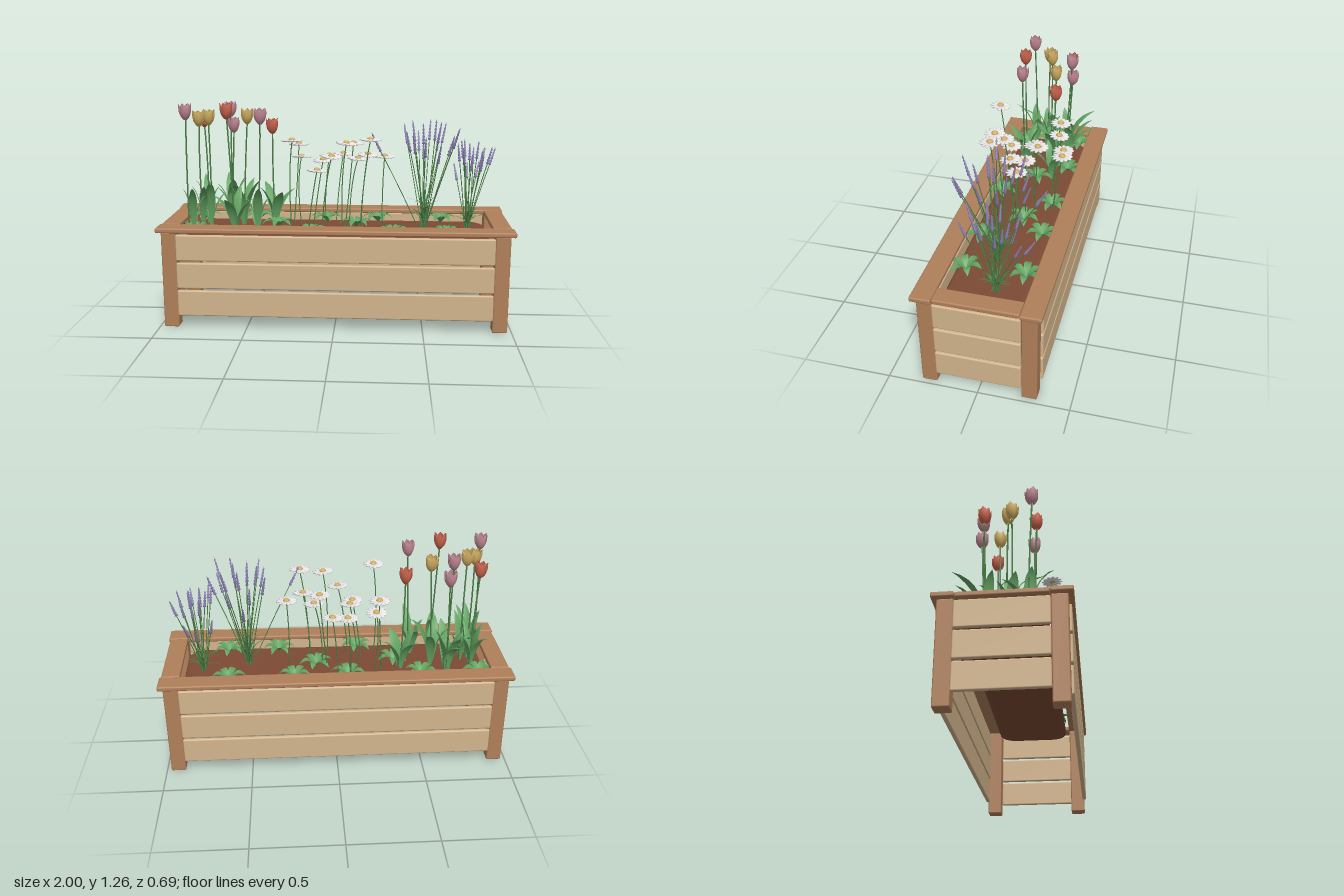
import * as THREE from 'three';
import { mergeGeometries } from 'three/addons/utils/BufferGeometryUtils.js';
import { RoundedBoxGeometry } from 'three/addons/geometries/RoundedBoxGeometry.js';

const mat = (name, color, side = THREE.FrontSide) => {
  const m = new THREE.MeshStandardMaterial({ color, side });
  m.name = name;
  return m;
};
const D = THREE.DoubleSide;
const V = (x, y, z) => new THREE.Vector3(x, y, z);
const SOIL = 0.52;

export function createModel() {
  const M = {
    frame: mat('frame wood', 0xb0805a),
    plank: mat('plank wood', 0xd2b48c),
    soil: mat('soil', 0x7c4b34),
    leaf: mat('leaf green', 0x62a362, D),
    stem: mat('stem green', 0x4e8449, D),
    red: mat('coral petal', 0xca654e, D),
    pink: mat('pink petal', 0xc08794, D),
    yellow: mat('golden petal', 0xd0ae62, D),
    white: mat('white petal', 0xe6e4e4),
    purple: mat('lavender purple', 0x9385bc),
  };
  const root = new THREE.Group();
  root.name = 'flowerPlanter';
  const add = (name, geo, material, parent = root) => {
    const mesh = new THREE.Mesh(Array.isArray(geo) ? mergeGeometries(geo) : geo, material);
    mesh.name = name;
    parent.add(mesh);
    return mesh;
  };
  const group = (name) => {
    const g = new THREE.Group();
    g.name = name;
    root.add(g);
    return g;
  };
  let seed = 7;
  const rnd = (a, b) => {
    seed = (seed * 16807) % 2147483647;
    return a + (b - a) * (seed / 2147483647);
  };

  // Wooden box: each board is given by its centre and size
  const board = (name, m, x, y, z, w, h, d) =>
    add(name, new RoundedBoxGeometry(w, h, d, 2, Math.min(0.008, h * 0.3)), m).position.set(x, y, z);
  for (const s of [-1, 1]) {
    for (const t of [-1, 1]) board('cornerPost', M.frame, s * 0.932, 0.28, t * 0.275, 0.085, 0.56, 0.085);
    for (const y of [0.147, 0.309, 0.471]) {
      board('longPlank', M.plank, 0, y, s * 0.318, 1.78, 0.15, 0.024);
      board('endPlank', M.plank, s * 0.973, y, 0, 0.024, 0.15, 0.466);
    }
    board('longRim', M.frame, 0, 0.573, s * 0.287, 2, 0.028, 0.115);
    board('endRim', M.frame, s * 0.938, 0.573, 0, 0.105, 0.028, 0.458);
  }

  // Thin soil bed with rounded corners and a soft edge
  const sx = 0.845, sz = 0.19, sr = 0.07;
  const outline = new THREE.Shape();
  outline.absarc(sx - sr, sz - sr, sr, 0, Math.PI / 2);
  outline.absarc(sr - sx, sz - sr, sr, Math.PI / 2, Math.PI);
  outline.absarc(sr - sx, sr - sz, sr, Math.PI, Math.PI * 1.5);
  outline.absarc(sx - sr, sr - sz, sr, Math.PI * 1.5, Math.PI * 2);
  add('soil', new THREE.ExtrudeGeometry(outline, {
    depth: 0.005, bevelSize: 0.03, bevelThickness: 0.015, bevelSegments: 4, curveSegments: 8,
  }).rotateX(-Math.PI / 2).translate(0, SOIL - 0.02, -0.005), M.soil);

  // Curved surface: s runs -1..1 across, t runs 0..1 along
  const patch = (nu, nv, f) => {
    const g = new THREE.PlaneGeometry(2, 1, nu, nv);
    const p = g.attributes.position;
    for (let i = 0; i < p.count; i++) p.setXYZ(i, ...f(p.getX(i), p.getY(i) + 0.5));
    g.computeVertexNormals();
    return g;
  };
  const leafWidth = (t) => Math.sin(Math.PI * (0.08 + 0.92 * Math.pow(t, 1.15)));
  const blade = (w, out, up, fold, n = 7) => patch(2, n, (s, t) =>
    [out(t), up(t) + Math.abs(s) * fold * leafWidth(t), s * w * leafWidth(t)]);
  const stem = (a, b, bow, r) => new THREE.TubeGeometry(new THREE.QuadraticBezierCurve3(
    a, a.clone().lerp(b, 0.5).add(bow), b), 8, r, 5);

  // Low rosettes of six arching leaves
  const rosettes = [];
  for (const [x, z] of [[-0.83, -0.18], [-0.49, -0.17], [-0.35, 0], [-0.07, -0.16], [0.24, -0.17],
    [-0.14, 0.17], [0.33, 0.16], [0.62, -0.17], [0.63, 0.16], [0.11, -0.03], [-0.82, 0.15]]) {
    const turn = rnd(0, 1);
    for (let i = 0; i < 6; i++) {
      const len = rnd(0.09, 0.105);
      rosettes.push(blade(0.021, (t) => len * t, (t) => 0.045 * Math.sin(t * 2.6), 0.006, 6)
        .rotateY(turn + i * Math.PI / 3).translate(x, SOIL, z));
    }
  }
  add('leafRosettes', rosettes, M.leaf);

  // Tulips: [head x, head centre y, head z, colour]
  const tulips = group('tulips');
  const tulipLeaves = [], tulipStems = [];
  const petal = (a, R) => patch(4, 8, (s, t) => {
    const w = 0.75 * Math.pow(Math.max(0, 1 - Math.pow(t, 4)), 0.6);
    const r = R * (Math.pow(Math.sin(Math.PI * (0.04 + 0.72 * t)), 0.6) + 0.25 * Math.pow(t, 6)) * (1 - 0.1 * s * s);
    return [r * Math.cos(a + s * w), 0.09 * t - 0.045, r * Math.sin(a + s * w)];
  });
  for (const [x, y, z, c] of [
    [-0.85, 1.215, 0.135, 'pink'], [-0.8, 1.165, 0.025, 'yellow'], [-0.75, 1.17, 0, 'yellow'],
    [-0.615, 1.22, 0.14, 'red'], [-0.8, 1.145, -0.12, 'red'], [-0.645, 1.205, -0.145, 'pink'],
    [-0.63, 1.11, -0.155, 'pink'], [-0.535, 1.17, -0.07, 'yellow'], [-0.43, 1.19, 0.115, 'pink'],
    [-0.39, 1.11, -0.1, 'red']]) {
    const petals = [];
    for (let i = 0; i < 6; i++) petals.push(petal(i * Math.PI / 3 + x * 9, i % 2 ? 0.032 : 0.037));
    add('tulipHead', petals, M[c], tulips).position.set(x, y, z);
    const bx = x + rnd(-0.03, 0.03), bz = z * 0.85;
    tulipStems.push(stem(V(bx, SOIL, bz), V(x, y - 0.043, z), V(rnd(-0.015, 0.015), 0, rnd(-0.015, 0.015)), 0.0045));
    // The first leaf of each plant leans out over the nearer long side
    const turn = (z > 0 ? -Math.PI / 2 : Math.PI / 2) + rnd(-0.5, 0.5);
    for (let i = 0; i < 4; i++) {
      const h = rnd(0.2, 0.29), o = i ? rnd(0.06, 0.13) : rnd(0.12, 0.18);
      tulipLeaves.push(blade(rnd(0.026, 0.034), (t) => 0.01 + o * Math.pow(t, 1.9),
        (t) => h * Math.sin(t * 1.4), -0.012)
        .rotateY(turn + i * 1.57).scale(x < -0.7 ? 0.7 : 1, 1, 1).translate(Math.max(bx, -0.83), SOIL, bz));
    }
  }
  add('tulipLeaves', tulipLeaves, M.leaf, tulips);
  add('tulipStems', tulipStems, M.stem, tulips);

  // Daisies: plump white petals round a golden button
  const daisies = group('daisies');
  const daisyStems = [];
  for (const [x, y, z] of [
    [-0.24, 1.065, 0.2], [-0.24, 0.995, -0.165], [-0.225, 0.92, -0.16], [-0.11, 0.88, 0.1],
    [-0.085, 0.92, -0.04], [-0.06, 0.92, -0.22], [0.025, 0.93, -0.23], [-0.025, 0.965, 0.12],
    [0.06, 1.045, 0.15], [0.09, 1.01, -0.105], [0.12, 0.93, -0.04], [0.18, 0.965, 0.03],
    [0.195, 1.065, 0.14], [0.275, 0.945, -0.03]]) {
    const flower = new THREE.Group();
    flower.name = 'daisyHead';
    flower.position.set(x, y, z);
    flower.rotation.set(rnd(-0.12, 0.12), rnd(0, 3), rnd(-0.12, 0.12));
    daisies.add(flower);
    const petals = [];
    for (let i = 0; i < 12; i++) {
      petals.push(new THREE.SphereGeometry(1, 8, 6).scale(0.025, 0.006, 0.0125)
        .rotateX(0.25).translate(0.037, 0, 0).rotateY(i * Math.PI / 6));
    }
    add('daisyPetals', petals, M.white, flower);
    add('daisyCentre', new THREE.SphereGeometry(0.02, 10, 6).scale(1, 0.65, 1).translate(0, 0.004, 0), M.yellow, flower);
    daisyStems.push(stem(V(x - rnd(0, 0.06), SOIL, z * 0.75), V(x, y, z), V(rnd(-0.03, 0.01), 0.05, 0), 0.0032));
  }
  add('daisyStems', daisyStems, M.stem, daisies);

  // Lavender clumps: fanned stems with knobbly spikes, thin grass at the foot
  const lavender = group('lavender');
  const spikes = [], lavStems = [], grass = [];
  const profile = [new THREE.Vector2(0, 0)];
  for (let i = 0; i < 6; i++) {
    const r = 0.0105 * (1 - i * 0.1);
    profile.push(new THREE.Vector2(r, i * 0.02 + 0.008), new THREE.Vector2(r * 0.5, i * 0.02 + 0.018));
  }
  profile.push(new THREE.Vector2(0, 0.128));
  const lavenderStem = (base, tip, k) => {
    const low = base.clone().add(V(rnd(-0.015, 0.015), 0, rnd(-0.015, 0.015)));
    const dir = tip.clone().sub(low).normalize();
    const foot = tip.clone().addScaledVector(dir, -0.125 * k);
    lavStems.push(stem(low, foot, V(0, 0.02, 0), 0.0026));
    spikes.push(new THREE.LatheGeometry(profile, 6).scale(1, k, 1)
      .applyQuaternion(new THREE.Quaternion().setFromUnitVectors(V(0, 1, 0), dir))
      .translate(foot.x, foot.y, foot.z));
  };
  for (const [x, z, rx, rz, top, drop, n, k, tuft] of [
    [0.51, 0.01, 0.2, 0.28, 1.18, 0.13, 17, 1, 0.2], [0.77, -0.05, 0.14, 0.21, 1.07, 0.15, 16, 0.85, 0.11]]) {
    for (let i = 0; i < n; i++) {
      const a = i * 2.4, q = Math.sqrt((i + 0.5) / n);
      lavenderStem(V(x, SOIL, z), V(x + 0.025 + Math.cos(a) * rx * q, top - drop * q * rnd(0.3, 1.6),
        z + Math.sin(a) * rz * q), k);
    }
    for (let i = 0; i < 20; i++) {
      const o = rnd(0.03, 0.12), h = tuft * rnd(0.5, 1.1);
      grass.push(blade(0.005, (t) => o * t * t, (t) => h * Math.sin(t * 1.6), 0.001, 4)
        .rotateY(i * 2.4).translate(x, SOIL, z));
    }
  }
  lavenderStem(V(0.48, SOIL, 0.02), V(0.2, 1.1, 0.1), 1);
  add('lavenderSpikes', spikes, M.purple, lavender);
  add('lavenderStems', lavStems, M.stem, lavender);
  add('lavenderGrass', grass, M.stem, lavender);

  return root;
}
